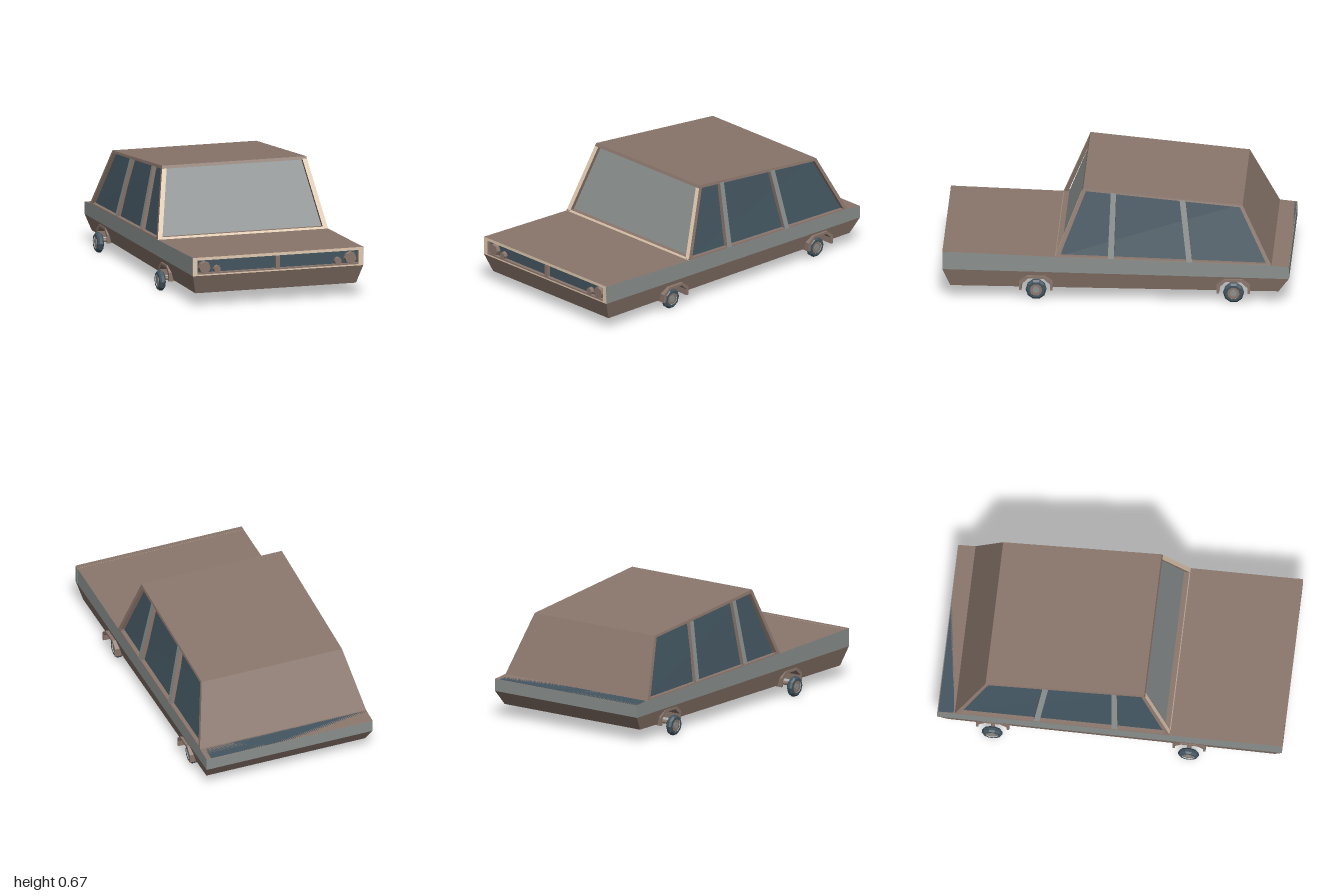
import * as THREE from 'three';

const CX = 0.0125; // body centre line
const HALF = 0.517; // body half width
const paint = (name, hex) => Object.assign(new THREE.MeshStandardMaterial({ color: hex }), { name });
const lerp = THREE.MathUtils.lerp;

export function createModel() {
  const car = new THREE.Group();
  car.name = 'car';
  const brown = paint('brown', 0x8a766c);
  const grey = paint('grey', 0x8a908f);
  const glass = paint('darkBlue', 0x42545f);
  const tan = paint('tan', 0xe3cbb0);

  const add = (name, geometry, material, parent = car) => {
    const mesh = new THREE.Mesh(geometry, material);
    mesh.name = name;
    parent.add(mesh);
    return mesh;
  };
  // moves every vertex by a rule and makes faces flat
  const warp = (geometry, rule) => {
    const g = geometry.index ? geometry.toNonIndexed() : geometry;
    const p = g.attributes.position;
    const v = new THREE.Vector3();
    for (let i = 0; i < p.count; i++) {
      rule(v.fromBufferAttribute(p, i));
      p.setXYZ(i, v.x, v.y, v.z);
    }
    g.computeVertexNormals();
    return g;
  };
  // extrudes a side profile of [z, y] points across the car
  const across = (points, x0, x1) => {
    const shape = new THREE.Shape(points.map(([z, y]) => new THREE.Vector2(z, y)));
    return new THREE.ExtrudeGeometry(shape, { depth: x1 - x0, bevelEnabled: false })
      .rotateY(-Math.PI / 2).translate(x1, 0, 0);
  };
  const box = (name, w, h, d, x, y, z, material) =>
    add(name, new THREE.BoxGeometry(w, h, d).translate(x, y, z), material);

  const axles = [0.46, -0.68];
  const seam = (z) => 0.175 + 0.012 * z;

  // lower body, narrowing downwards, with wheel tunnels
  const arch = (z, w, top, low) => [
    [z - w, low], [z - w, top - 0.035], [z - w * 0.55, top],
    [z + w * 0.55, top], [z + w, top - 0.035], [z + w, low],
  ];
  const lower = [
    [1, seam(1)], [-1, seam(-1)], [-0.94, 0.077],
    ...arch(axles[1], 0.09, 0.15, 0.077), ...arch(axles[0], 0.09, 0.15, 0.077),
    [0.955, 0.077],
  ];
  add('lowerBody', warp(across(lower, -1, 1), (v) => {
    v.x = CX + Math.sign(v.x) * (HALF - 0.27 * Math.max(0, seam(v.z) - v.y));
  }), brown);

  // upper body: grey sides, brown hood
  const upper = [
    [0.97, 0.294], [0.35, 0.275], [-0.9, 0.245], [-1, 0.235],
    [-1, seam(-1)], [0.97, seam(0.97)],
  ];
  add('upperBody', across(upper, CX - HALF, CX + HALF), [grey, brown]);
  box('rearBand', HALF * 2, 0.07, 0.004, CX, 0.199, -1, grey);
  add('rearDeck', warp(new THREE.BoxGeometry(1, 0.004, 0.09), (v) => {
    v.z -= 0.952;
    v.y += 0.242 + (v.z + 0.91) * 0.1;
  }), glass);

  // grille opening and surround
  const rect = (Type, x0, y0, x1, y1) => new Type([[x0, y0], [x1, y0], [x1, y1], [x0, y1]]
    .map(([x, y]) => new THREE.Vector2(x, y)));
  const surround = rect(THREE.Shape, CX - HALF, seam(1), CX + HALF, 0.295);
  surround.holes.push(rect(THREE.Path, CX - 0.488, 0.195, CX + 0.488, 0.278));
  add('grilleSurround', new THREE.ExtrudeGeometry(surround, { depth: 0.03, bevelEnabled: false })
    .translate(0, 0, 0.97), [tan, brown]);
  for (const s of [-1, 1]) {
    box('surroundSide', 0.003, 0.106, 0.03, CX + s * HALF, 0.241, 0.985, grey);
  }
  box('grille', 0.976, 0.083, 0.006, CX, 0.236, 0.972, glass);
  box('grilleDivider', 0.024, 0.085, 0.022, CX, 0.236, 0.984, brown);
  box('grilleSill', 0.976, 0.008, 0.024, CX, 0.198, 0.984, brown);
  for (const s of [-1, 1]) {
    for (const [x, y, r] of [[0.443, 0.233, 0.038], [0.367, 0.22, 0.023]]) {
      add('headlight', warp(new THREE.CylinderGeometry(r * 0.9, r, 0.024, 8), () => {})
        .rotateX(Math.PI / 2).translate(CX + s * x, y, 0.986), brown);
    }
  }

  // cabin: u runs front to rear, t runs from belt to roof
  const place = (v, u, t, xa, xb) => {
    const half = lerp(HALF, 0.437, t);
    const side = v.x + 0.5;
    v.set(CX + lerp(xa(half), xb(half), side),
      lerp(lerp(0.275, 0.245, u), lerp(0.675, 0.585, u), t),
      lerp(lerp(0.35, -0.9, u), lerp(0.19, -0.73, u), t));
  };
  // box faces are ordered +x, -x, +y, -y, +z, -z
  const cell = (name, [ub0, ub1, ut0, ut1], t0, t1, xa, xb, materials) =>
    add(name, warp(new THREE.BoxGeometry(1, 1, 1), (v) => {
      const top = v.y + 0.5, back = 0.5 - v.z;
      const t = lerp(t0, t1, top);
      place(v, lerp(lerp(ub0, ub1, back), lerp(ut0, ut1, back), t), t, xa, xb);
    }), materials);
  const inset = (s, d) => (h) => s * (h - d);
  const full = [inset(-1, 0), inset(1, 0)];

  cell('cabinGlass', [0.024, 0.98, 0.024, 0.98], 0, 0.98, inset(-1, 0.024), inset(1, 0.024),
    [glass, glass, brown, brown, grey, brown]);
  cell('roof', [0, 1, 0, 1], 0.957, 1, ...full, brown);
  cell('rearPanel', [0.98, 1, 0.975, 1], 0, 0.98, ...full, brown);
  cell('windscreenSill', [0, 0.026, 0, 0.026], 0, 0.03, ...full,
    [brown, brown, brown, brown, tan, brown]);
  for (const s of [-1, 1]) {
    const span = s > 0 ? [inset(1, 0.028), inset(1, 0)] : [inset(-1, 0), inset(-1, 0.028)];
    const outerGrey = [brown, brown, brown, brown, brown, brown];
    outerGrey[s > 0 ? 0 : 1] = grey;
    cell('frontPillar', [0, 0.02, 0, 0.024], 0, 0.97, ...span,
      [brown, brown, brown, brown, tan, brown]);
    cell('middlePillar', [0.244, 0.272, 0.174, 0.207], 0, 0.97, ...span, outerGrey);
    cell('rearPillar', [0.608, 0.634, 0.603, 0.64], 0, 0.97, ...span, outerGrey);
    cell('windowSill', [0, 1, 0, 1], 0, 0.02, ...span, brown);
  }

  // wheel arches running through the body, axles and wheels
  const tyreProfile = [[0.036, -0.018], [0.05, -0.018], [0.06, -0.008],
    [0.06, 0.008], [0.05, 0.018], [0.036, 0.018]].map(([r, y]) => new THREE.Vector2(r, y));
  for (const z of axles) {
    const ring = [...arch(z, 0.096, 0.156, 0.07), ...arch(z, 0.082, 0.142, 0.07).reverse()];
    add('wheelArch', across(ring, -0.505, 0.542), brown);
    add('axle', warp(new THREE.CylinderGeometry(0.012, 0.012, 0.98, 8), () => {})
      .rotateZ(Math.PI / 2).translate(-0.017, 0.07, z), brown);
    for (const x of [-0.526, 0.492]) {
      const wheel = new THREE.Group();
      wheel.name = 'wheel';
      wheel.position.set(x, 0.06, z);
      wheel.rotation.z = Math.PI / 2;
      car.add(wheel);
      add('tyre', warp(new THREE.LatheGeometry(tyreProfile, 10), () => {}), glass, wheel);
      add('rim', warp(new THREE.CylinderGeometry(0.037, 0.037, 0.028, 10), () => {}), brown, wheel);
      add('hub', warp(new THREE.CylinderGeometry(0.02, 0.02, 0.034, 10), () => {}), grey, wheel);
    }
  }
  return car;
}
